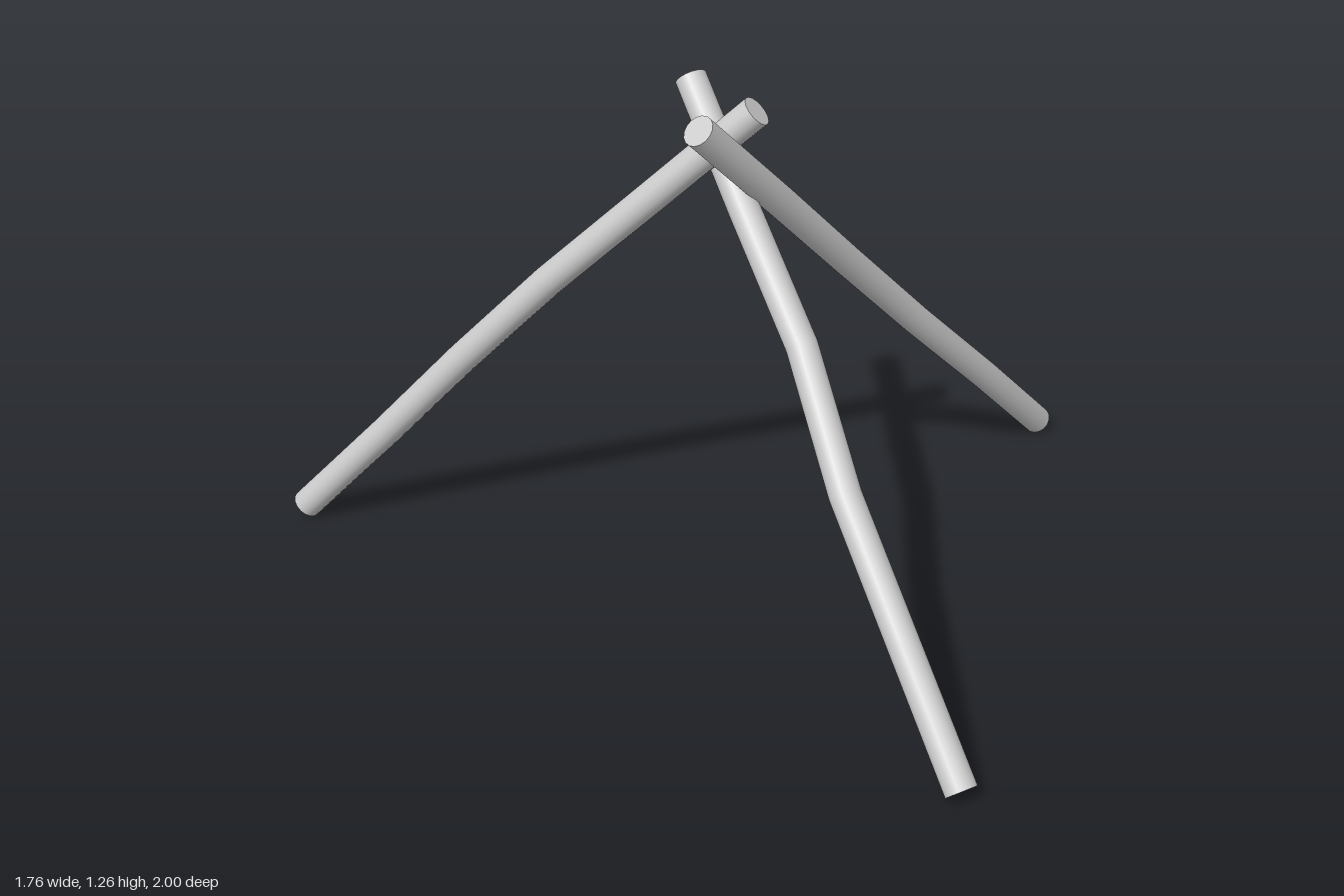
import * as THREE from 'three';

const RADIUS = 0.038;
const SIDES = 16;

// Straight-segment path whose joints fall exactly on the tube's rings
class PolePath extends THREE.Curve {
  constructor(points) {
    super();
    this.points = points;
  }
  getPoint(t, target = new THREE.Vector3()) {
    const n = this.points.length - 1;
    const i = Math.min(Math.floor(t * n + 1e-9), n - 1);
    return target.lerpVectors(this.points[i], this.points[i + 1], t * n - i);
  }
  getPointAt(t, target) { return this.getPoint(t, target); }
  getTangentAt(t, target) { return this.getTangent(t, target); }
}

// Flat end disc, sharing the tube's end ring
function endCap(tube, ring, flip) {
  const pos = tube.attributes.position;
  const corner = (j) => new THREE.Vector3().fromBufferAttribute(pos, ring * (SIDES + 1) + j);
  const pts = [];
  for (let j = 1; j < SIDES - 1; j++) {
    pts.push(corner(0), corner(flip ? j + 1 : j), corner(flip ? j : j + 1));
  }
  const geo = new THREE.BufferGeometry().setFromPoints(pts);
  geo.computeVertexNormals();
  return geo;
}

function makePole(name, coords, material) {
  const path = new PolePath(coords.map((c) => new THREE.Vector3(...c)));
  const segments = coords.length - 1;
  const tube = new THREE.TubeGeometry(path, segments, RADIUS, SIDES, false);
  const pole = new THREE.Group();
  pole.name = name;
  const add = (part, geo) => {
    const mesh = new THREE.Mesh(geo, material);
    mesh.name = part;
    pole.add(mesh);
  };
  add('shaft', tube);
  add('footCap', endCap(tube, 0, false));
  add('topCap', endCap(tube, segments, true));
  return pole;
}

export function createModel() {
  const group = new THREE.Group();
  group.name = 'tripodOfPoles';
  const wood = new THREE.MeshStandardMaterial({ color: 0xcccccc, side: THREE.DoubleSide });

  // Each pole runs from its foot to its crossed top, bending slightly
  const poles = {
    leftPole: [
      [0.85, 0.03, 0.045], [0.61, 0.27, 0.05], [0.37, 0.51, 0.025],
      [0.13, 0.755, 0.018], [-0.11, 0.995, 0.038], [-0.353, 1.238, 0.042],
    ],
    frontPole: [
      [-0.456, 0.03, 0.972], [-0.4, 0.27, 0.735], [-0.345, 0.51, 0.5],
      [-0.253, 0.755, 0.265], [-0.207, 0.995, 0.028], [-0.156, 1.238, -0.21],
    ],
    backPole: [
      [-0.848, 0.03, -0.97], [-0.713, 0.275, -0.775], [-0.595, 0.52, -0.58],
      [-0.47, 0.76, -0.38], [-0.328, 1.0, -0.165], [-0.18, 1.236, 0.042],
    ],
  };
  for (const [name, coords] of Object.entries(poles)) group.add(makePole(name, coords, wood));
  return group;
}
